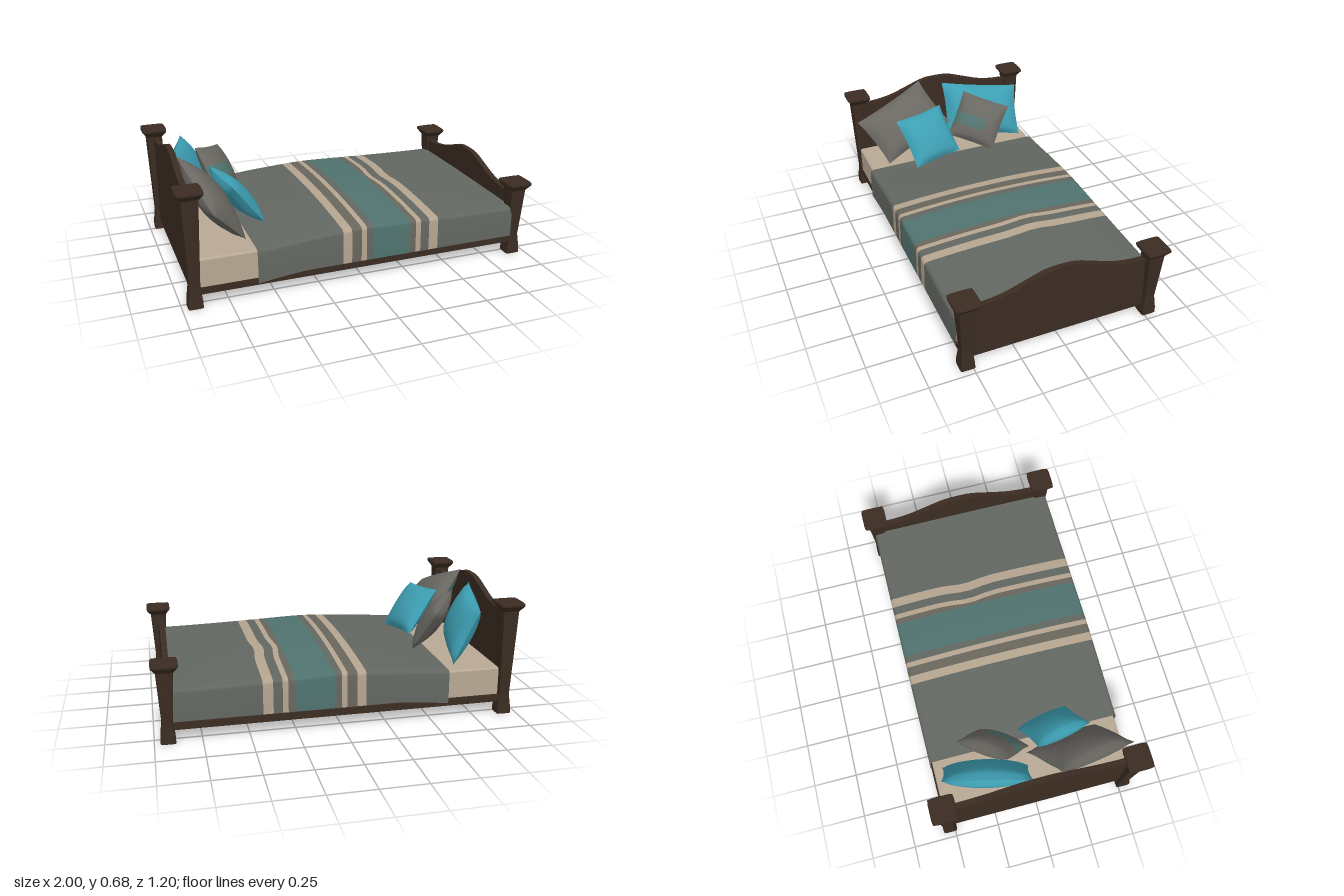
import * as THREE from 'three';
import { mergeGeometries, toCreasedNormals } from 'three/addons/utils/BufferGeometryUtils.js';
import { RoundedBoxGeometry } from 'three/addons/geometries/RoundedBoxGeometry.js';

const mat = (name, color, side = THREE.FrontSide) => {
  const m = new THREE.MeshStandardMaterial({ color, side });
  m.name = name;
  return m;
};
const V = (a) => new THREE.Vector3(...a);

export function createModel() {
  const wood = mat('darkWood', 0x3b2c22);
  const linen = mat('linen', 0xb9a995);
  const cyan = mat('cyanFabric', 0x3d9fb3);
  const greyPillow = mat('pillowGrey', 0x6a6862);
  const pillowBand = mat('pillowTeal', 0x527470);
  const grey = mat('blanketGrey', 0x636761, THREE.DoubleSide);
  const taupe = mat('blanketTaupe', 0x69665d, THREE.DoubleSide);
  const teal = mat('blanketTeal', 0x50736f, THREE.DoubleSide);
  const sand = mat('blanketSand', 0xb5a590, THREE.DoubleSide);

  const bed = new THREE.Group();
  bed.name = 'bed';
  const add = (name, geo, material, x = 0, y = 0, z = 0) => {
    const m = new THREE.Mesh(geo, material);
    m.name = name;
    m.position.set(x, y, z);
    bed.add(m);
    return m;
  };

  // Posts: a lathe pushed out to a softly cornered square
  const post = (h) => {
    const profile = [[0, 0], [0.04, 0], [0.039, 0.035], [0.029, 0.115], [0.03, 0.13], [0.046, h - 0.046],
      [0.049, h - 0.044], [0.07, h - 0.016], [0.07, h - 0.005], [0.066, h], [0, h]];
    const g = new THREE.LatheGeometry(profile.map((p) => new THREE.Vector2(...p)), 24);
    const p = g.attributes.position;
    for (let i = 0; i < p.count; i++) {
      const x = p.getX(i), z = p.getZ(i), r = Math.hypot(x, z);
      if (r < 1e-6) continue;
      const k = Math.pow(Math.abs(x / r) ** 12 + Math.abs(z / r) ** 12, -1 / 12);
      p.setX(i, x * k);
      p.setZ(i, z * k);
    }
    return toCreasedNormals(g, 0.3);
  };

  // Curved end boards
  const board = (rise) => {
    const half = [[0.5, 0.368], [0.4, 0.372], [0.3, 0.39], [0.2, 0.424], [0.09, 0.461]];
    const pts = [...half, [0, 0.468], ...half.map(([z, y]) => [-z, y]).reverse()];
    const curve = new THREE.SplineCurve(pts.map(([z, y]) => new THREE.Vector2(z, y + rise)));
    const shape = new THREE.Shape([new THREE.Vector2(-0.5, 0.05), new THREE.Vector2(0.5, 0.05), ...curve.getPoints(32)]);
    const g = new THREE.ExtrudeGeometry(shape, { depth: 0.032, bevelEnabled: false });
    return g.translate(0, 0, -0.016).rotateY(Math.PI / 2);
  };
  for (const [label, x, h, bx, rise] of [['head', -0.93, 0.645, -0.92, 0.215], ['foot', 0.928, 0.44, 0.915, 0]]) {
    for (const s of [-1, 1]) add(label + 'Post', post(h), wood, x, 0, s * 0.528);
    add(label + 'Board', board(rise), wood, bx);
    add(label + 'Rail', new THREE.BoxGeometry(0.03, 0.04, 1.04), wood, Math.sign(x) * 0.89, 0.09);
  }
  for (const s of [-1, 1]) add('sideRail', new THREE.BoxGeometry(1.82, 0.04, 0.03), wood, 0, 0.09, s * 0.535);

  // Mattress, its base showing between the rails
  add('mattressBase', new THREE.BoxGeometry(1.79, 0.012, 1.06), linen, 0, 0.094);
  add('mattress', new RoundedBoxGeometry(1.8, 0.168, 1.085, 3, 0.012), linen, 0, 0.184, 0.006);

  // Blanket: cross-sections along x, coloured stripe by stripe
  const stripes = [[-0.6, -0.13, grey], [-0.13, -0.08, sand], [-0.08, -0.025, taupe], [-0.025, 0.005, sand],
    [0.005, 0.045, grey], [0.045, 0.26, teal], [0.26, 0.295, taupe], [0.295, 0.325, sand],
    [0.325, 0.375, grey], [0.375, 0.43, sand], [0.43, 0.9, grey]];
  const crest = new THREE.SplineCurve([[-0.6, 0.28], [-0.3, 0.315], [0, 0.338], [0.3, 0.33], [0.6, 0.313], [0.9, 0.297]]
    .map((p) => new THREE.Vector2(...p)));
  const section = (x) => {
    const t = (x + 0.6) / 1.5;
    const top = crest.getPoint(t).y;
    const edge = top - 0.004 - 0.022 * Math.sin(Math.PI * t);
    const hem = 0.115 - 0.03 * Math.max(0, 1 - t * 5) ** 1.5;
    const half = [[0.559, hem], [0.56, 0.16], [0.558, 0.22], [0.557, edge - 0.022], [0.553, edge - 0.008], [0.54, edge]];
    for (let i = 1; i <= 8; i++) {
      const z = 0.54 * (1 - i / 8);
      half.push([z, edge + (top - edge) * (1 - (z / 0.54) ** 2)]);
    }
    return [...half, ...half.slice(0, -1).reverse().map(([z, y]) => [-z, y])];
  };
  const stations = [stripes[0][0]];
  const owner = [];
  stripes.forEach(([a, b], k) => {
    const n = Math.ceil((b - a) / 0.05);
    for (let i = 1; i <= n; i++) {
      stations.push(a + (b - a) * i / n);
      owner.push(k);
    }
  });
  const pos = [], index = [];
  const cols = section(0).length;
  for (const x of stations) {
    // slight pull in the right-hand stripes
    const pull = x > 0.28 && x < 0.45 ? 0.018 : 0;
    for (const [z, y] of section(x)) pos.push(x - pull * Math.exp(-(((z + 0.1) / 0.1) ** 2)), y, z);
  }
  const blanket = new THREE.BufferGeometry();
  owner.forEach((k, r) => {
    blanket.addGroup(index.length, (cols - 1) * 6, k);
    for (let c = 0; c < cols - 1; c++) {
      const a = r * cols + c, b = a + cols;
      index.push(a, b, a + 1, b, b + 1, a + 1);
    }
  });
  blanket.setAttribute('position', new THREE.Float32BufferAttribute(pos, 3));
  blanket.setIndex(index);
  blanket.computeVertexNormals();
  add('blanket', blanket, stripes.map((s) => s[2]), 0, 0, 0.007);

  // Pillows: two bulged sheets joined at a pinched seam, placed by a corner and two edges;
  // band gives the first row, last row and last column of a woven stripe
  const pillow = (name, corner, u, v, thick, material, band) => {
    const N = 16;
    const sheet = (back) => {
      const g = new THREE.PlaneGeometry(2, 2, N, N);
      if (back) g.rotateY(Math.PI);
      const p = g.attributes.position;
      for (let i = 0; i < p.count; i++) {
        const s = p.getX(i), t = p.getY(i);
        const a = Math.max(0, 1 - s * s), b = Math.max(0, 1 - t * t);
        p.setXYZ(i, s * (1 - 0.045 * b), t * (1 - 0.045 * a), (back ? -1 : 1) * thick / 2 * Math.pow(a * b, 0.5));
      }
      return g;
    };
    const g = mergeGeometries([sheet(false), sheet(true)]);
    const U = V(u).multiplyScalar(0.5), W = V(v).multiplyScalar(-0.5);
    const n = U.clone().cross(W).normalize();
    const centre = V(corner).add(U).sub(W);
    g.applyMatrix4(new THREE.Matrix4().makeBasis(U, W, n).setPosition(centre));
    g.computeVertexNormals();
    if (band) {
      for (let cell = 0; cell < 2 * N * N; cell++) {
        const row = Math.floor(cell / N) % N, c = cell % N;
        const inBand = cell < N * N && row >= band[0] && row <= band[1] && c <= band[2];
        g.addGroup(cell * 6, 6, inBand ? 1 : 0);
      }
    }
    add(name, g, band ? [material, pillowBand] : material);
  };
  pillow('largeCyanPillow', [-0.9, 0.635, -0.035], [0.12, -0.05, -0.47], [0.135, -0.3, 0.02], 0.14, cyan);
  pillow('largeGreyPillow', [-0.91, 0.675, 0.12], [0.09, -0.17, 0.445], [0.195, -0.225, -0.135], 0.14, greyPillow, [5, 8, 12]);
  pillow('smallCyanPillow', [-0.73, 0.572, 0.045], [0.065, -0.025, 0.31], [0.185, -0.25, -0.065], 0.12, cyan);
  pillow('smallGreyPillow', [-0.76, 0.622, -0.135], [0.18, -0.075, -0.24], [0.09, -0.245, 0.15], 0.12, greyPillow, [7, 10, 10]);

  return bed;
}
